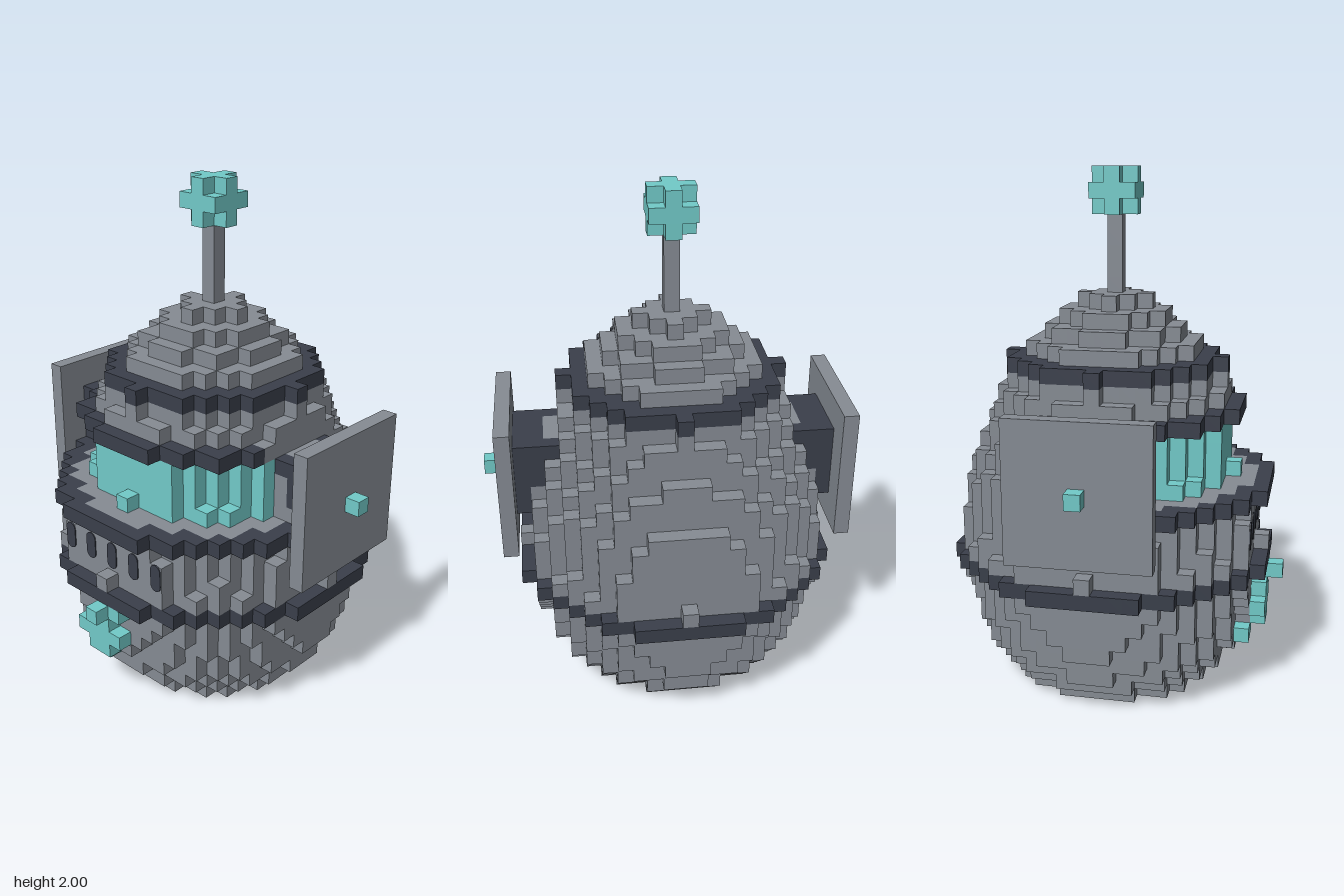
import * as THREE from 'three';

const U = 1 / 17;        // cell size
const Z0 = -U / 2;       // depth offset of the central cell
const R = 11;            // half extent of the cell grid
const ROWS = 34;

// Squared radius of the egg-shaped shell at each row
function shellR2(j) {
  if (j < 0 || j > 25) return -1;
  if (j <= 9) return 100 * (1 - ((9 - j) / 12) ** 2);
  if (j <= 17) return 100 * (1 - ((j - 9) / 13.6) ** 2);
  return [60, 53, 49, 49, 30, 18, 10.5, 4.5][j - 18];
}

// Raised emblem cells: [row, first x, last x, depth]
const EMBLEM = [[7, 0, 1, 10], [7, 0, 0, 11], [6, -1, 0, 10], [5, -2, 1, 10], [4, -1, 0, 10], [3, -2, -1, 9]];

// Which part fills cell (x, row, z)
function partAt(i, j, k) {
  const d2 = i * i + k * k, a = Math.abs(i);
  if (j >= 31 && j < ROWS) return d2 + (j - 32) ** 2 <= 2 ? 'antennaBall' : null;
  if (j >= 26) return j < 31 && d2 === 0 ? 'antennaRod' : null;
  if (EMBLEM.some(([r, x0, x1, z]) => j === r && i >= x0 && i <= x1 && k === z)) return 'emblem';
  const body = d2 <= shellR2(j);
  if (j === 8 && d2 <= 110 && d2 > 80) return 'waistBand';
  if (j === 21 && d2 <= 49 && d2 > 29) return 'crownBand';
  if (j === 13 && k >= 3 && d2 <= 110 && d2 > 88) return 'lowerVisorRim';
  if (j === 18 && k >= 4 && d2 <= 72 && d2 > 48) return 'upperVisorRim';
  if (j >= 14 && j <= 17 && k >= 3) {
    return d2 <= (j === 14 ? 64 : 60) ? (d2 > 30 ? 'visor' : 'shell') : null;
  }
  if (body) return 'shell';
  if (j >= 13 && j <= 17 && a <= 10 && Math.abs(k) <= 2) return 'earMount';
  return null;
}

const DIRS = [[1, 0, 0], [-1, 0, 0], [0, 1, 0], [0, -1, 0], [0, 0, 1], [0, 0, -1]];

// Collect the exposed cell faces of every part
function buildCells() {
  const parts = {};
  for (let j = 0; j < ROWS; j++) for (let i = -R; i <= R; i++) for (let k = -R; k <= R; k++) {
    const name = partAt(i, j, k);
    if (!name) continue;
    const p = parts[name] ??= { pos: [], nor: [], idx: [] };
    for (const n of DIRS) {
      if (partAt(i + n[0], j + n[1], k + n[2])) continue;
      const c = [i * U, (j + 0.5) * U, Z0 + k * U];
      const axis = n.findIndex(v => v !== 0);
      const s = n[axis], b = (axis + 1) % 3, t = (axis + 2) % 3;
      const base = p.pos.length / 3;
      for (const [e, f] of [[-1, -1], [1, -1], [1, 1], [-1, 1]]) {
        const v = [...c];
        v[axis] += s * U / 2;
        v[b] += s * e * U / 2;
        v[t] += f * U / 2;
        p.pos.push(...v);
        p.nor.push(...n);
      }
      p.idx.push(base, base + 1, base + 2, base, base + 2, base + 3);
    }
  }
  return parts;
}

export function createModel() {
  const group = new THREE.Group();
  const mat = (name, color) => {
    const m = new THREE.MeshStandardMaterial({ color });
    m.name = name;
    return m;
  };
  const grey = mat('steelGrey', 0x868c94);
  const dark = mat('darkSlate', 0x3a3f4b);
  const teal = mat('teal', 0x72cbc9);
  const add = (name, geo, material, x = 0, y = 0, z = 0) => {
    const mesh = new THREE.Mesh(geo, material);
    mesh.name = name;
    mesh.position.set(x, y, z);
    group.add(mesh);
  };

  // Stepped shell, bands, visor, emblem and antenna
  const colours = {
    shell: grey, antennaRod: grey, waistBand: dark, crownBand: dark, lowerVisorRim: dark,
    upperVisorRim: dark, earMount: dark, visor: teal, emblem: teal, antennaBall: teal,
  };
  for (const [name, p] of Object.entries(buildCells())) {
    const geo = new THREE.BufferGeometry();
    geo.setAttribute('position', new THREE.Float32BufferAttribute(p.pos, 3));
    geo.setAttribute('normal', new THREE.Float32BufferAttribute(p.nor, 3));
    geo.setIndex(p.idx);
    add(name, geo, colours[name]);
  }

  // Square ear plates with a small knob
  for (const [side, s] of [['left', 1], ['right', -1]]) {
    add(side + 'EarPlate', new THREE.BoxGeometry(U, 9 * U, 9 * U), grey, s * 11 * U, 15.5 * U, Z0);
    add(side + 'EarKnob', new THREE.BoxGeometry(U, U, U), teal, s * 12 * U, 15.5 * U, Z0);
  }

  // Rounded vent slots on the chin
  const w = 0.025, h = 0.03;
  const slot = new THREE.Shape();
  slot.moveTo(w, -h);
  slot.lineTo(w, h);
  slot.absarc(0, h, w, 0, Math.PI, false);
  slot.lineTo(-w, -h);
  slot.absarc(0, -h, w, Math.PI, 2 * Math.PI, false);
  const slotGeo = new THREE.ExtrudeGeometry(slot, { depth: 0.006, bevelEnabled: false, curveSegments: 6 });
  for (let i = -2; i <= 2; i++) {
    add('ventSlot', slotGeo, dark, i * 2 * U, 0.655, Z0 + 9.5 * U - 0.002);
  }
  return group;
}
